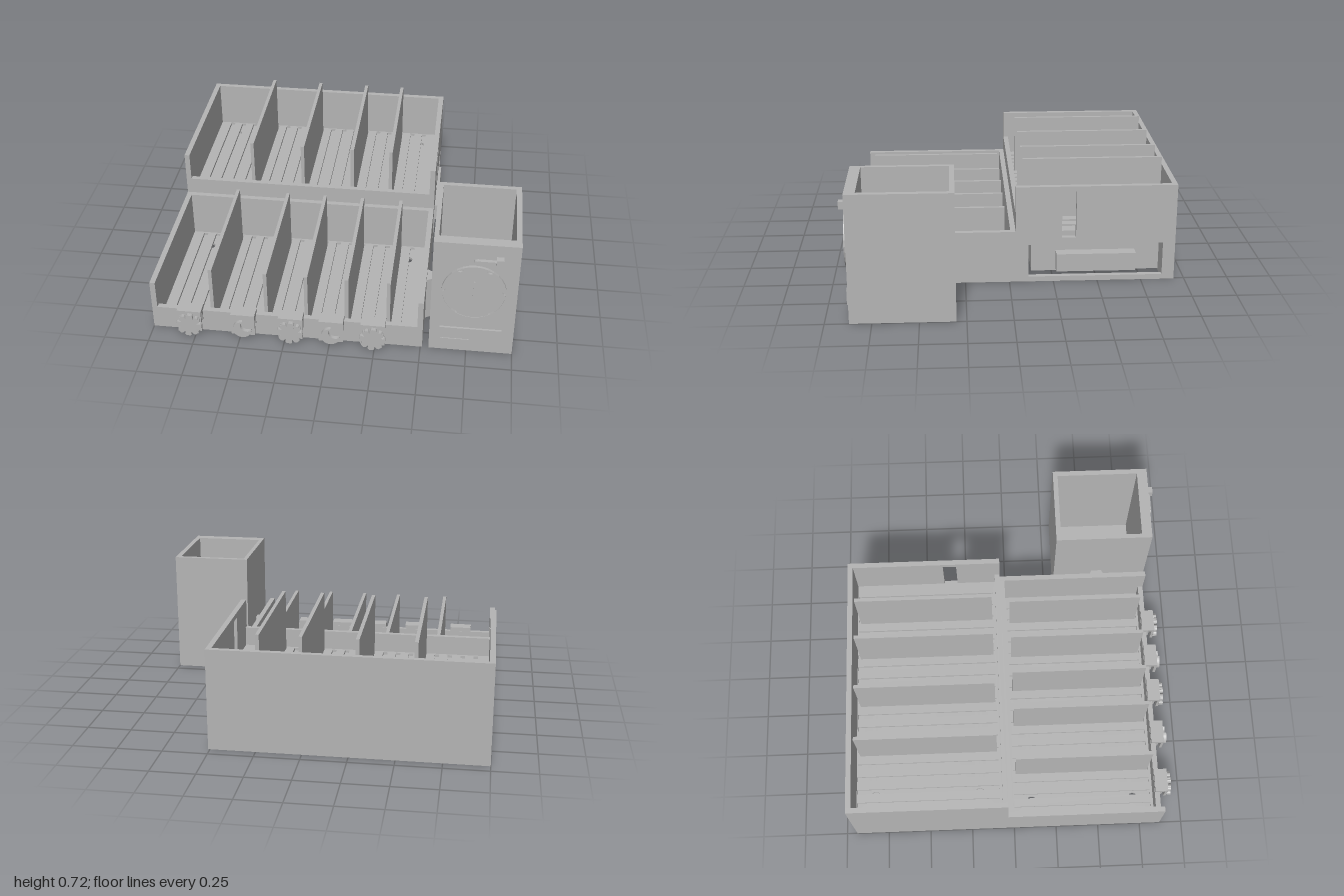
import * as THREE from 'three';

const grey = new THREE.MeshStandardMaterial({ color: 0xb4b4b4 });
grey.name = 'plain grey';

export function createModel() {
  const root = new THREE.Group();
  root.name = 'deskOrganizer';

  const add = (name, geo, parent = root) => {
    const m = new THREE.Mesh(geo, grey);
    m.name = name;
    parent.add(m);
    return m;
  };
  // Box given by its limits on each axis
  const box = (name, x0, x1, y0, y1, z0, z1, parent = root) =>
    add(name, new THREE.BoxGeometry(x1 - x0, y1 - y0, z1 - z0)
      .translate((x0 + x1) / 2, (y0 + y1) / 2, (z0 + z1) / 2), parent);
  const poly = (pts) => new THREE.Shape(pts.map((p) => new THREE.Vector2(p[0], p[1])));
  const rect = (a0, a1, b0, b1) => poly([[a0, b0], [a1, b0], [a1, b1], [a0, b1]]);
  const circle = (x, y, r) => new THREE.Shape().absarc(x, y, r, 0, Math.PI * 2, false);
  const extrude = (shape, depth) =>
    new THREE.ExtrudeGeometry(shape, { depth, bevelEnabled: false, curveSegments: 16 });
  // Shape drawn in (x, -z), raised from y0 to y1
  const slab = (name, shape, y0, y1) =>
    add(name, extrude(shape, y1 - y0).rotateX(-Math.PI / 2).translate(0, y0, 0));
  // Shape drawn in (-z, y), extruded along x
  const sideWall = (name, shape, x0, x1) =>
    add(name, extrude(shape, x1 - x0).rotateY(Math.PI / 2).translate(x0, 0, 0));

  // Stepped side walls; the right one has a window and a drawer opening
  const profile = () => poly([[-0.87, 0], [0.94, 0], [0.94, 0.57], [0.035, 0.57], [0.035, 0.305], [-0.87, 0.305]]);
  sideWall('plainSideWall', profile(), -1, -0.97);
  const openSide = profile();
  openSide.holes.push(rect(0.295, 0.375, 0.265, 0.54), rect(0.107, 0.87, 0.03, 0.225));
  sideWall('openSideWall', openSide, 0.48, 0.51);

  // Two trays: pierced under-layer, grooved upper layer, low front wall, dividers
  const trays = [
    { name: 'front', y: 0, z0: -0.035, z1: 0.84, s0: 0.005, s1: 0.825, holes: [0.11, 0.72],
      dividers: [-0.67, -0.365, -0.14, 0.085, 0.315] },
    { name: 'back', y: 0.265, z0: -0.94, z1: -0.065, s0: -0.905, s1: -0.08, holes: [-0.8, -0.195],
      dividers: [-0.595, -0.29, 0.01, 0.24] },
  ];
  for (const t of trays) {
    const under = rect(-0.97, 0.48, -t.z1, -t.z0);
    for (const x of [-0.845, 0.372]) for (const z of t.holes) under.holes.push(circle(x, -z, 0.028));
    slab(t.name + 'TrayFloor', under, t.y, t.y + 0.015);

    const grooved = rect(-0.97, 0.48, -t.z1, -t.z0);
    for (let i = 0; i < 18; i++) {
      const x = -0.895 + i * 0.0758;
      grooved.holes.push(rect(x - 0.013, x + 0.013, -t.s1, -t.s0));
    }
    slab(t.name + 'TrayGrooves', grooved, t.y + 0.015, t.y + 0.03);

    box(t.name + 'TrayLowWall', -0.97, 0.48, t.y, t.y + 0.138, t.z1, t.z1 + 0.03);
    box(t.name + 'TrayRearWall', -0.97, 0.48, t.y, t.y + 0.305, t.z0, t.z0 + 0.03);
    for (const x of t.dividers)
      box(t.name + 'Divider', x - 0.01, x + 0.01, t.y + 0.015, t.y + 0.383, t.s0 + 0.015, t.s1 - 0.008);
  }

  // Raised base below the back tray, hollow for the drawer
  box('baseRear', -0.97, 0.48, 0, 0.265, -0.94, -0.87);
  box('baseFront', -0.97, 0.48, 0, 0.265, -0.107, -0.035);
  box('baseEnd', -0.97, -0.95, 0, 0.265, -0.87, -0.107);
  box('baseTop', -0.95, 0.48, 0.225, 0.265, -0.87, -0.107);

  // Drawer with its pull
  const drawer = new THREE.Group();
  drawer.name = 'drawer';
  root.add(drawer);
  box('drawerBottom', -0.93, 0.46, 0.045, 0.065, -0.855, -0.125, drawer);
  for (const x of [-0.93, 0.44]) box('drawerEnd', x, x + 0.02, 0.065, 0.21, -0.855, -0.125, drawer);
  for (const z of [-0.855, -0.145]) box('drawerSide', -0.91, 0.44, 0.065, 0.21, z, z + 0.02, drawer);
  box('drawerPull', 0.46, 0.525, 0.065, 0.17, -0.715, -0.265, drawer);

  // Tall cup and the wedge that joins it to the tray
  const cup = rect(0.545, 1, -0.87, -0.305);
  cup.holes.push(rect(0.57, 0.97, -0.81, -0.333));
  slab('cupWalls', cup, 0, 0.722);
  box('cupFloor', 0.57, 0.97, 0, 0.03, 0.333, 0.81);
  slab('cupJoint', poly([[0.51, -0.62], [0.545, -0.6], [0.545, -0.54], [0.51, -0.52]]), 0, 0.27);

  // Dial with scalloped rim notches
  const dial = new THREE.Group();
  dial.name = 'dial';
  dial.position.set(0.77, 0.415, 0.87);
  root.add(dial);
  const notches = [62, 5, -53, 118, 175, 233].map((d) => d * Math.PI / 180);
  const rim = [];
  for (let i = 0; i < 120; i++) {
    const a = i / 120 * Math.PI * 2;
    let r = 0.17;
    for (const n of notches) {
      const d = Math.abs(Math.atan2(Math.sin(a - n), Math.cos(a - n))) * 0.17;
      if (d < 0.02) r = Math.min(r, 0.17 - Math.sqrt(0.0004 - d * d));
    }
    rim.push([r * Math.cos(a), r * Math.sin(a)]);
  }
  add('dialFace', extrude(poly(rim), 0.012), dial);
  const ring = circle(0, 0, 0.172);
  ring.holes.push(circle(0, 0, 0.166));
  add('dialRim', extrude(ring, 0.015), dial);
  box('dialMark', -0.005, 0.005, -0.065, 0.075, 0.012, 0.018, dial);

  // Lever above the dial and framed plate below it
  box('leverArm', 0.775, 0.88, 0.622, 0.63, 0.87, 0.89);
  add('leverPivot', new THREE.CylinderGeometry(0.012, 0.012, 0.02, 16).rotateX(Math.PI / 2).translate(0.77, 0.617, 0.88));
  box('leverKnob', 0.875, 0.912, 0.61, 0.652, 0.87, 0.905);
  const plate = rect(0.6, 0.935, 0.08, 0.163);
  plate.holes.push(rect(0.607, 0.76, 0.087, 0.156));
  add('slidePlate', extrude(plate, 0.012).translate(0, 0, 0.87));
  box('slideInset', 0.607, 0.76, 0.087, 0.156, 0.87, 0.877);

  // Hanging tags: a hook over the low wall carrying a flower or a crescent
  const petals = [];
  for (let i = 0; i < 64; i++) {
    const a = i / 64 * Math.PI * 2;
    const r = [0.07, 0.072, 0.07, 0.064, 0.046, 0.064, 0.07, 0.072][(i + 1) % 8];
    petals.push([r * Math.cos(a), r * Math.sin(a)]);
  }
  const flower = poly(petals);
  const moon = new THREE.Shape();
  moon.absarc(0, 0, 0.052, Math.PI * 0.5, Math.PI * 2, false);
  moon.absarc(0.026, 0.026, 0.0368, -Math.PI * 0.25, Math.PI * 0.75, true);
  [-0.78, -0.48, -0.215, 0.01, 0.24].forEach((x, i) => {
    const tag = new THREE.Group();
    tag.name = i % 2 ? 'moonTag' : 'flowerTag';
    tag.position.x = x;
    root.add(tag);
    box('tagHook', -0.067, 0.067, 0.138, 0.163, 0.842, 0.918, tag);
    box('tagBack', -0.067, 0.067, 0.08, 0.138, 0.87, 0.885, tag);
    box('tagPlate', -0.067, 0.067, 0.03, 0.138, 0.902, 0.918, tag);
    add(i % 2 ? 'crescent' : 'flower', extrude(i % 2 ? moon : flower, 0.024)
      .translate(0, 0.08, 0.916), tag);
  });

  return root;
}
